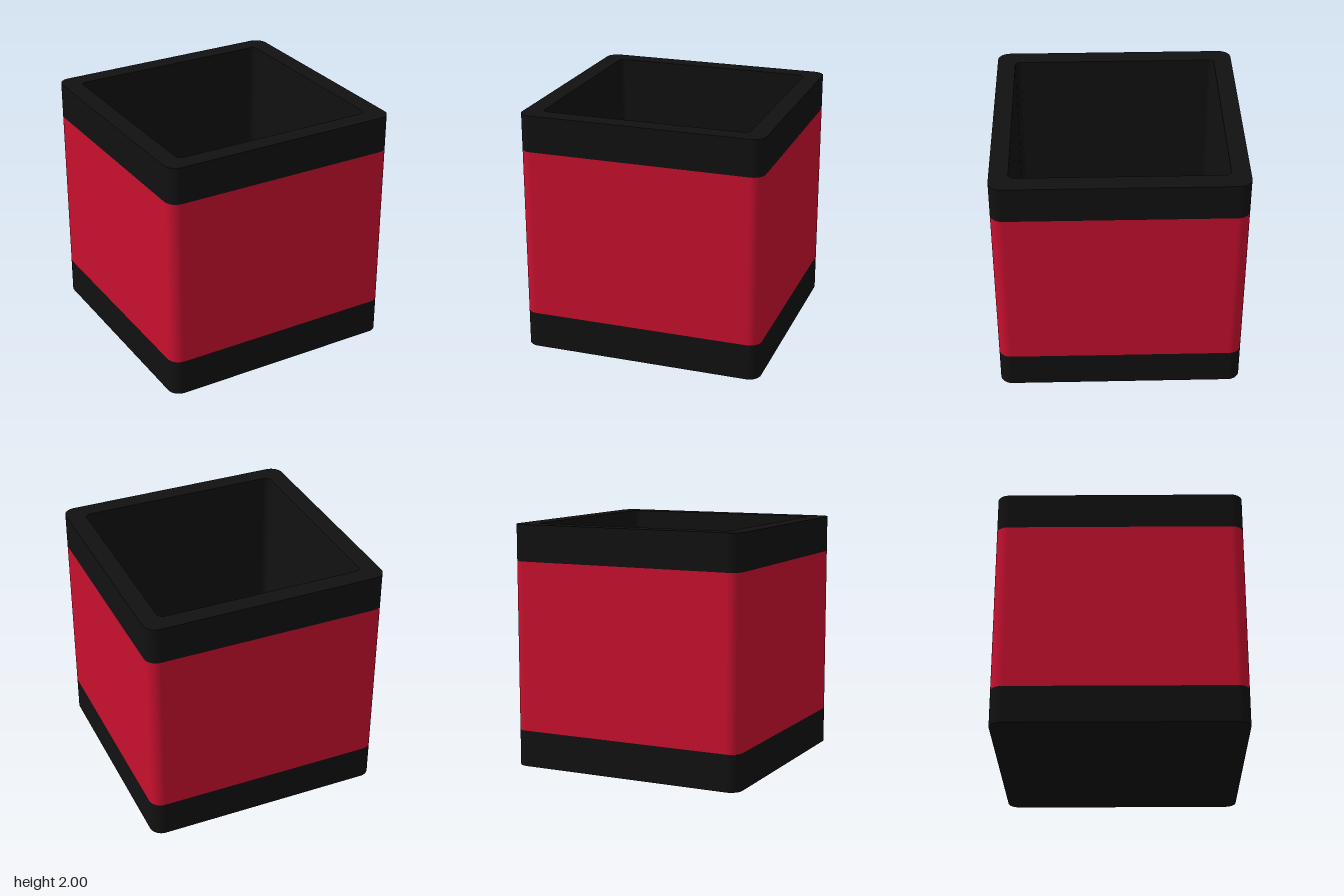
import * as THREE from 'three';

const black = new THREE.MeshStandardMaterial({ color: 0x111111 });
const red = new THREE.MeshStandardMaterial({ color: 0xc8102e });
const OUTER = { half: 1, radius: 0.1 };
const INNER = { half: 0.85, radius: 0.05 };
const FLOOR = 0.15, BAND_LOW = 0.3, BAND_HIGH = 1.7, TOP = 2;
const ARC = 12;

// Points and outward normals around a rounded square
function outline({ half, radius }) {
  const ring = [];
  for (let corner = 0; corner < 4; corner++) {
    const middle = Math.PI / 4 + corner * Math.PI / 2;
    const cx = Math.sign(Math.cos(middle)) * (half - radius);
    const cy = Math.sign(Math.sin(middle)) * (half - radius);
    for (let i = 0; i <= ARC; i++) {
      const a = (corner + i / ARC) * Math.PI / 2;
      const n = new THREE.Vector2(Math.cos(a), Math.sin(a));
      ring.push({ n, p: new THREE.Vector2(cx + radius * n.x, cy + radius * n.y) });
    }
  }
  return ring;
}

// Upright wall following a rounded square, facing outward (1) or inward (-1)
function wall(name, size, y0, y1, material, facing = 1) {
  const ring = outline(size), pos = [], nor = [], idx = [];
  ring.push(ring[0]);
  ring.forEach(({ p, n }, i) => {
    for (const y of [y0, y1]) {
      pos.push(p.x, y, p.y);
      nor.push(n.x * facing, 0, n.y * facing);
    }
    if (i === 0) return;
    const a = 2 * i - 2, b = a + 1, c = a + 2, d = a + 3;
    if (facing > 0) idx.push(a, b, c, c, b, d);
    else idx.push(a, c, b, c, d, b);
  });
  const geo = new THREE.BufferGeometry();
  geo.setAttribute('position', new THREE.Float32BufferAttribute(pos, 3));
  geo.setAttribute('normal', new THREE.Float32BufferAttribute(nor, 3));
  geo.setIndex(idx);
  const mesh = new THREE.Mesh(geo, material);
  mesh.name = name;
  return mesh;
}

// Flat rounded square, facing up or down, with an optional opening
function plate(name, size, y, up, opening) {
  const shape = new THREE.Shape(outline(size).map(({ p }) => p));
  if (opening) shape.holes.push(new THREE.Path(outline(opening).map(({ p }) => p)));
  const geo = new THREE.ShapeGeometry(shape);
  geo.rotateX(up ? -Math.PI / 2 : Math.PI / 2);
  geo.translate(0, y, 0);
  const mesh = new THREE.Mesh(geo, black);
  mesh.name = name;
  return mesh;
}

export function createModel() {
  const model = new THREE.Group();
  model.name = 'openBox';
  model.add(
    // Outer shell
    plate('underside', OUTER, 0, false),
    wall('baseBand', OUTER, 0, BAND_LOW, black),
    wall('colouredBand', OUTER, BAND_LOW, BAND_HIGH, red),
    wall('topBand', OUTER, BAND_HIGH, TOP, black),
    // Rim and hollow inside
    plate('rim', OUTER, TOP, true, INNER),
    wall('innerWall', INNER, FLOOR, TOP, black, -1),
    plate('floor', INNER, FLOOR, true)
  );
  return model;
}
